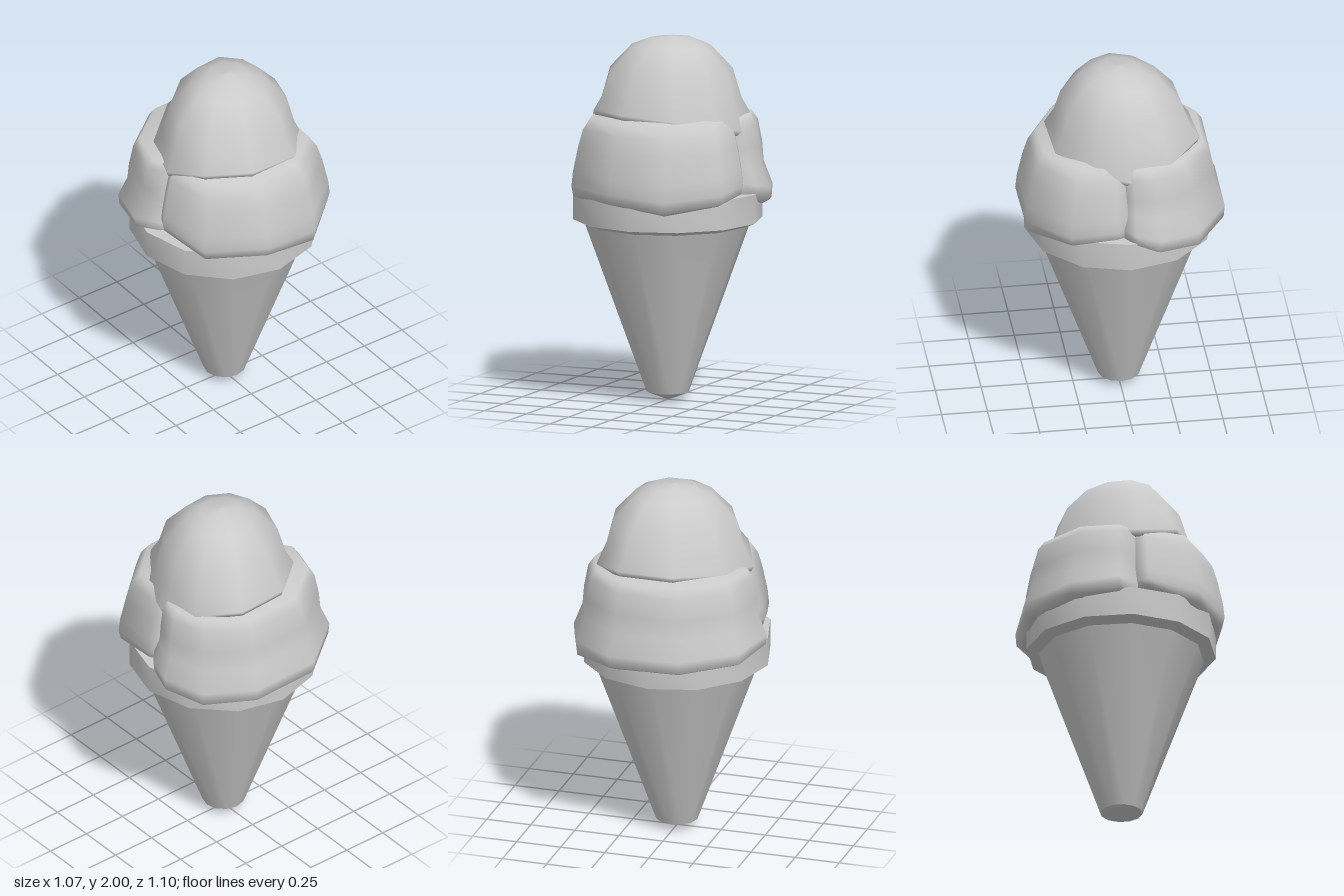
import * as THREE from 'three';
import { toCreasedNormals } from 'three/addons/utils/BufferGeometryUtils.js';

const material = new THREE.MeshStandardMaterial({ color: 0xcccccc, side: THREE.DoubleSide });

// Lofts rows [scale, y, droop] over an outline of [x, z, dy]; droop sets how far dy shifts the row.
function loft(name, outline, rows, cx, cz, closed) {
  const n = outline.length, pos = [], index = [];
  for (const [s, y, droop] of rows) {
    for (const [x, z, dy] of outline) pos.push(cx + (x - cx) * s, y + dy * droop, cz + (z - cz) * s);
  }
  for (let i = 0; i < rows.length - 1; i++) {
    for (let j = 0; j < (closed ? n : n - 1); j++) {
      const a = i * n + j, b = i * n + (j + 1) % n;
      index.push(a, b, a + n, b, b + n, a + n);
    }
  }
  const geo = new THREE.BufferGeometry();
  geo.setAttribute('position', new THREE.Float32BufferAttribute(pos, 3));
  geo.setIndex(index);
  geo.computeVertexNormals();
  const mesh = new THREE.Mesh(geo, material);
  mesh.name = name;
  return mesh;
}

export function createModel() {
  const group = new THREE.Group();
  group.name = 'iceCreamCone';

  // Wafer cone with its collar and a closed top
  const profile = [[0, 0.005], [0.115, 0.05], [0.45, 0.975], [0.515, 1.0], [0.515, 1.16], [0.44, 1.16], [0, 1.15]]
    .map(([r, y]) => new THREE.Vector2(r, y));
  const cone = new THREE.Mesh(toCreasedNormals(new THREE.LatheGeometry(profile, 12), 0.7), material);
  cone.name = 'waferCone';
  group.add(cone);

  // Front scoop: half ring whose ends tuck in at the seam
  group.add(loft('frontScoop', [
    [0.36, -0.03, 0.03], [0.45, 0.01, 0.02], [0.475, 0.07, 0.02], [0.47, 0.32, 0], [0.22, 0.535, -0.04],
    [-0.1, 0.55, 0], [-0.4, 0.38, 0], [-0.47, 0.09, 0.05], [-0.44, 0.03, 0.05], [-0.34, 0.0, 0.05],
  ], [
    [0.3, 1.62, 0], [0.8, 1.575, 0], [0.88, 1.51, 0], [0.93, 1.42, 0], [0.985, 1.28, 0.3],
    [1, 1.2, 0.7], [0.98, 1.15, 1], [0.92, 1.135, 1], [0.78, 1.16, 1],
  ], 0, 0, false));

  // Back scoop: wider skirt at the bottom
  group.add(loft('backScoop', [
    [-0.36, 0.06, 0.03], [-0.45, 0.03, 0.04], [-0.535, -0.08, 0.04], [-0.465, -0.335, 0.01], [-0.185, -0.55, 0],
    [0.21, -0.55, -0.01], [0.45, -0.38, -0.03], [0.535, -0.16, -0.01], [0.51, -0.03, 0.03],
    [0.46, 0.03, 0.05], [0.36, 0.05, 0.05],
  ], [
    [0.3, 1.61, 0], [0.8, 1.57, 0], [0.86, 1.52, 0], [0.9, 1.4, 0], [0.915, 1.3, 0.3],
    [1, 1.185, 0.7], [0.99, 1.12, 1], [0.92, 1.1, 1], [0.78, 1.15, 1],
  ], 0, 0, false));

  // Top scoop: dome with an uneven lip
  group.add(loft('topScoop', [
    [0.435, -0.02, -0.06], [0.385, 0.185, -0.02], [0.2, 0.375, 0.03], [-0.09, 0.395, 0.05], [-0.32, 0.265, 0.05],
    [-0.42, 0.05, -0.01], [-0.335, -0.19, 0.02], [-0.1, -0.39, 0.05], [0.2, -0.415, 0.06], [0.385, -0.23, 0.01],
  ], [
    [0, 2.0, 0], [0.27, 1.985, 0], [0.5, 1.945, 0], [0.78, 1.815, 0], [0.89, 1.65, 0.4],
    [1, 1.56, 1], [0.97, 1.53, 1], [0.75, 1.53, 1],
  ], 0.02, 0, true));

  return group;
}
